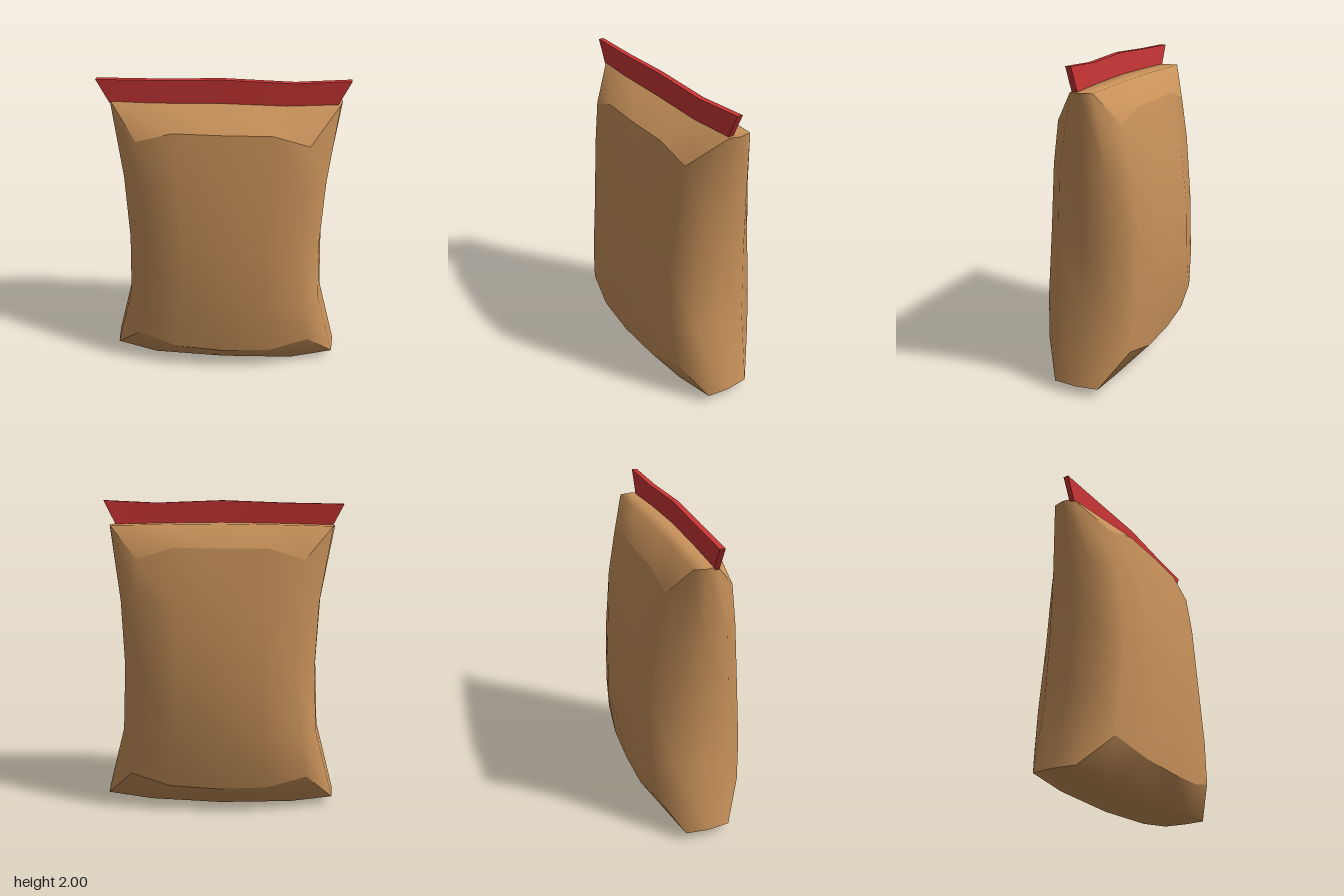
import * as THREE from 'three';

const tan = new THREE.MeshStandardMaterial({ color: 0xc69059 });
tan.name = 'tan paper';
const red = new THREE.MeshStandardMaterial({ color: 0xcc3636 });
red.name = 'red seal';

// Smooth surface through rows of points; closed joins each row's end to its start
function surface(name, rows, closed, material) {
  const n = rows[0].length;
  const index = [];
  for (let r = 0; r < rows.length - 1; r++) {
    for (let i = 0; i < (closed ? n : n - 1); i++) {
      const j = (i + 1) % n;
      const a = r * n + i, b = r * n + j, c = b + n, d = a + n;
      index.push(a, d, c, a, c, b);
    }
  }
  const geo = new THREE.BufferGeometry();
  geo.setAttribute('position', new THREE.Float32BufferAttribute(rows.flat(2), 3));
  geo.setIndex(index);
  geo.computeVertexNormals();
  const mesh = new THREE.Mesh(geo, material);
  mesh.name = name;
  return mesh;
}

// Per level: [x, y] of side, corner, quarter and centre columns, then their front and back depths
const levels = [
  { x: [0.75, 0.57, 0.315, 0], y: [0.06, 0.255, 0.185, 0.17], f: [0.155, 0.285, 0.33, 0.34], b: [-0.135, -0.275, -0.3, -0.305] },
  { x: [0.63, 0.53, 0.28, 0], y: [0.53, 0.53, 0.53, 0.53], f: [0.18, 0.3, 0.345, 0.36], b: [-0.17, -0.295, -0.35, -0.362] },
  { x: [0.61, 0.485, 0.26, 0], y: [0.96, 0.96, 0.96, 0.96], f: [0.18, 0.29, 0.33, 0.34], b: [-0.17, -0.295, -0.343, -0.355] },
  { x: [0.63, 0.51, 0.27, 0], y: [1.38, 1.38, 1.38, 1.38], f: [0.15, 0.25, 0.285, 0.295], b: [-0.15, -0.25, -0.287, -0.297] },
  { x: [0.7, 0.525, 0.3, 0], y: [1.85, 1.65, 1.72, 1.72], f: [0.04, 0.21, 0.23, 0.237], b: [-0.1, -0.2, -0.207, -0.212] },
];

// Sixteen-point ring running from the left side, across the front, to the right side and back
function ring({ x, y, f, b }, level) {
  const shift = level < 4 ? 0.008 : 0;
  const at = (k, s, z) => [s * x[k] + shift, y[k], z[k]];
  const mid = (s) => [s * (x[0] + 0.016) + shift, y[0], (f[0] + b[0]) / 2];
  return [
    mid(1), ...[0, 1, 2, 3].map((k) => at(k, 1, f)), ...[2, 1, 0].map((k) => at(k, -1, f)),
    mid(-1), ...[0, 1, 2, 3].map((k) => at(k, -1, b)), ...[2, 1, 0].map((k) => at(k, 1, b)),
  ];
}

// Five rows that close one end of the bag, from the front edge to the back edge
function cap(r, qx, qy, cy, depths) {
  const row = (l, rt, z) => [l, [qx, qy, z], [0, cy, z], [-qx, qy, z], rt];
  return [
    r.slice(2, 7),
    row(r[1], r[7], depths[0]),
    row(r[0], r[8], depths[1]),
    row(r[15], r[9], depths[2]),
    r.slice(10, 15).reverse(),
  ];
}

// Crimped strip: a box whose columns follow the wavy top of the bag
function sealStrip() {
  const bottomX = [-0.7, -0.38, 0, 0.38, 0.685], topX = [-0.775, -0.4, 0, 0.42, 0.757];
  const bottomY = [1.832, 1.842, 1.852, 1.842, 1.852], topY = [1.98, 1.986, 2, 1.984, 2];
  const depth = [0.033, 0.042, 0.047, 0.038, 0.019];
  const geo = new THREE.BoxGeometry(1, 1, 1, 4, 1, 1);
  const p = geo.attributes.position;
  for (let i = 0; i < p.count; i++) {
    const c = Math.round((p.getX(i) + 0.5) * 4);
    const top = p.getY(i) > 0;
    p.setXYZ(i, (top ? topX : bottomX)[c], (top ? topY : bottomY)[c], depth[c] + p.getZ(i) * 0.034);
  }
  geo.computeVertexNormals();
  const mesh = new THREE.Mesh(geo, red);
  mesh.name = 'topSeal';
  return mesh;
}

export function createModel() {
  const bag = new THREE.Group();
  bag.name = 'bag';
  const rings = levels.map(ring);

  bag.add(surface('bagWall', rings, true, tan));
  bag.add(surface('bagBase', cap(rings[0], 0.47, 0.022, 0.004, [0.2, 0.03, -0.14]).reverse(), false, tan));
  bag.add(surface('bagTop', cap(rings[4], 0.37, 1.857, 1.862, [0.035, -0.03, -0.1]), false, tan));
  bag.add(sealStrip());
  return bag;
}
